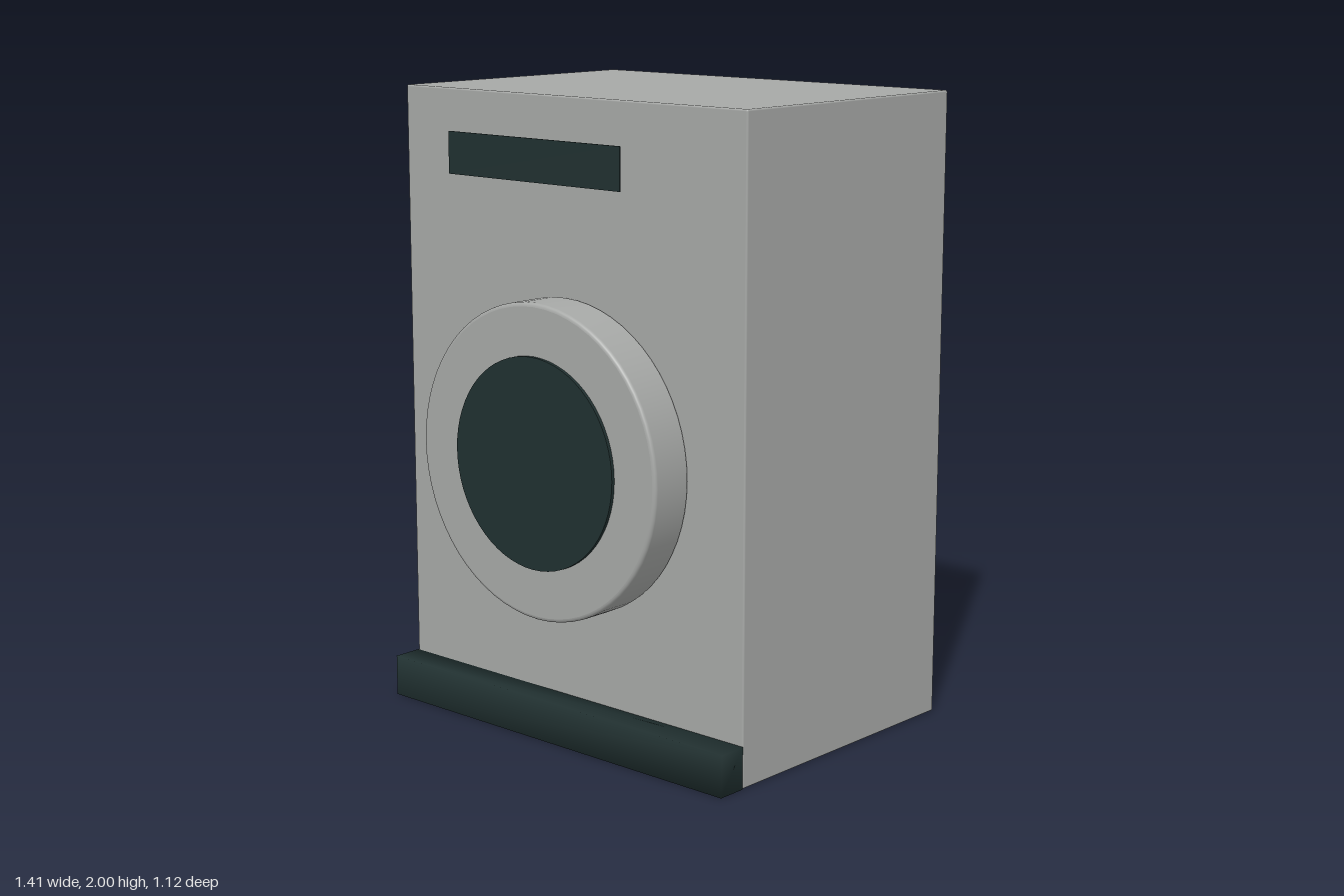
import * as THREE from 'three';
import { RoundedBoxGeometry } from 'three/addons/geometries/RoundedBoxGeometry.js';
import { mergeVertices } from 'three/addons/utils/BufferGeometryUtils.js';

export function createModel() {
  const model = new THREE.Group();
  const casing = new THREE.MeshStandardMaterial({ name: 'casing grey', color: 0xa6a8a6 });
  const dark = new THREE.MeshStandardMaterial({ name: 'dark slate', color: 0x203030 });

  function add(name, geometry, material, x, y, z) {
    const mesh = new THREE.Mesh(geometry, material);
    mesh.name = name;
    mesh.position.set(x, y, z);
    model.add(mesh);
    return mesh;
  }

  // Cabinet with finely rounded edges
  add('cabinet', new RoundedBoxGeometry(1.41, 2, 0.957, 2, 0.006), casing, 0, 1, -0.0795);

  // Round door: a closed disc profile with soft rims, turned to face the front
  const radius = 0.492, depth = 0.147, bevel = 0.012;
  const profile = [new THREE.Vector2(0, 0), new THREE.Vector2(radius - bevel, 0)];
  for (const [centreY, start] of [[bevel, -Math.PI / 2], [depth - bevel, 0]]) {
    for (let i = 0; i <= 4; i++) {
      const a = start + (i / 4) * Math.PI / 2;
      profile.push(new THREE.Vector2(radius - bevel + bevel * Math.cos(a), centreY + bevel * Math.sin(a)));
    }
  }
  profile.push(new THREE.Vector2(radius - bevel, depth), new THREE.Vector2(0, depth));
  add('door', new THREE.LatheGeometry(profile, 64), casing, 0, 0.902, 0.4).rotation.x = Math.PI / 2;

  // Dark window disc on the door
  const glass = new THREE.CylinderGeometry(0.33, 0.33, 0.014, 64);
  add('doorWindow', glass, dark, 0, 0.902, 0.551).rotation.x = Math.PI / 2;

  // Thin display plate standing clear of the cabinet front
  add('displayPanel', new THREE.BoxGeometry(0.71, 0.13, 0.004), dark, 0, 1.82, 0.546);

  // Plinth along the bottom front, shaded softly across its edges
  const plinth = new THREE.BoxGeometry(1.41, 0.132, 0.097);
  plinth.deleteAttribute('normal');
  plinth.deleteAttribute('uv');
  const softPlinth = mergeVertices(plinth);
  softPlinth.computeVertexNormals();
  add('plinth', softPlinth, dark, 0, 0.066, 0.4475);

  return model;
}
